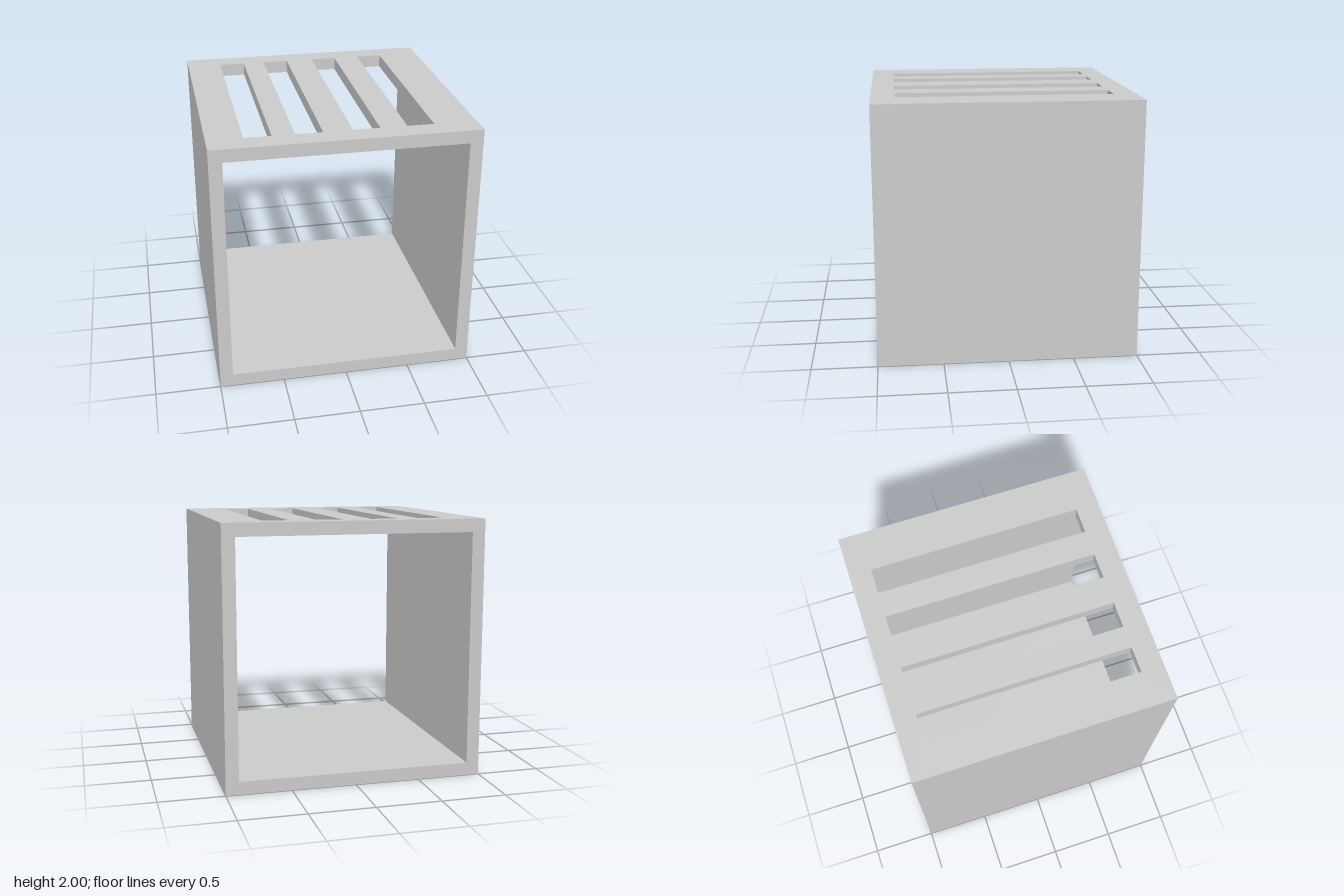
import * as THREE from 'three';

const T = 0.1; // wall thickness

function polygon(points, Type = THREE.Shape) {
  return new Type(points.map(([x, y]) => new THREE.Vector2(x, y)));
}

export function createModel() {
  const model = new THREE.Group();
  model.name = 'slottedBox';
  const material = new THREE.MeshStandardMaterial({ color: 0xcccccc, flatShading: true });

  function addPart(name, geometry) {
    const mesh = new THREE.Mesh(geometry, material);
    mesh.name = name;
    model.add(mesh);
  }

  // Floor and both side walls: one U-shaped channel, open at front and back
  const channel = polygon([
    [-1, 0], [1, 0], [1, 2 - T], [1 - T, 2 - T],
    [1 - T, T], [-1 + T, T], [-1 + T, 2 - T], [-1, 2 - T],
  ]);
  addPart('floorAndSideWalls',
    new THREE.ExtrudeGeometry(channel, { depth: 2, bevelEnabled: false }).translate(0, 0, -1));

  // Top panel with four long, slightly unevenly spaced slots
  const panel = polygon([[-1, -1], [1, -1], [1, 1], [-1, 1]]);
  const slotWidth = 0.203, slotFront = 0.823, slotBack = -0.829;
  for (const x of [-0.73, -0.356, 0.067, 0.473]) {
    panel.holes.push(polygon([
      [x, -slotFront], [x, -slotBack], [x + slotWidth, -slotBack], [x + slotWidth, -slotFront],
    ], THREE.Path));
  }
  addPart('slottedTop',
    new THREE.ExtrudeGeometry(panel, { depth: T, bevelEnabled: false })
      .rotateX(-Math.PI / 2).translate(0, 2 - T, 0));

  return model;
}
